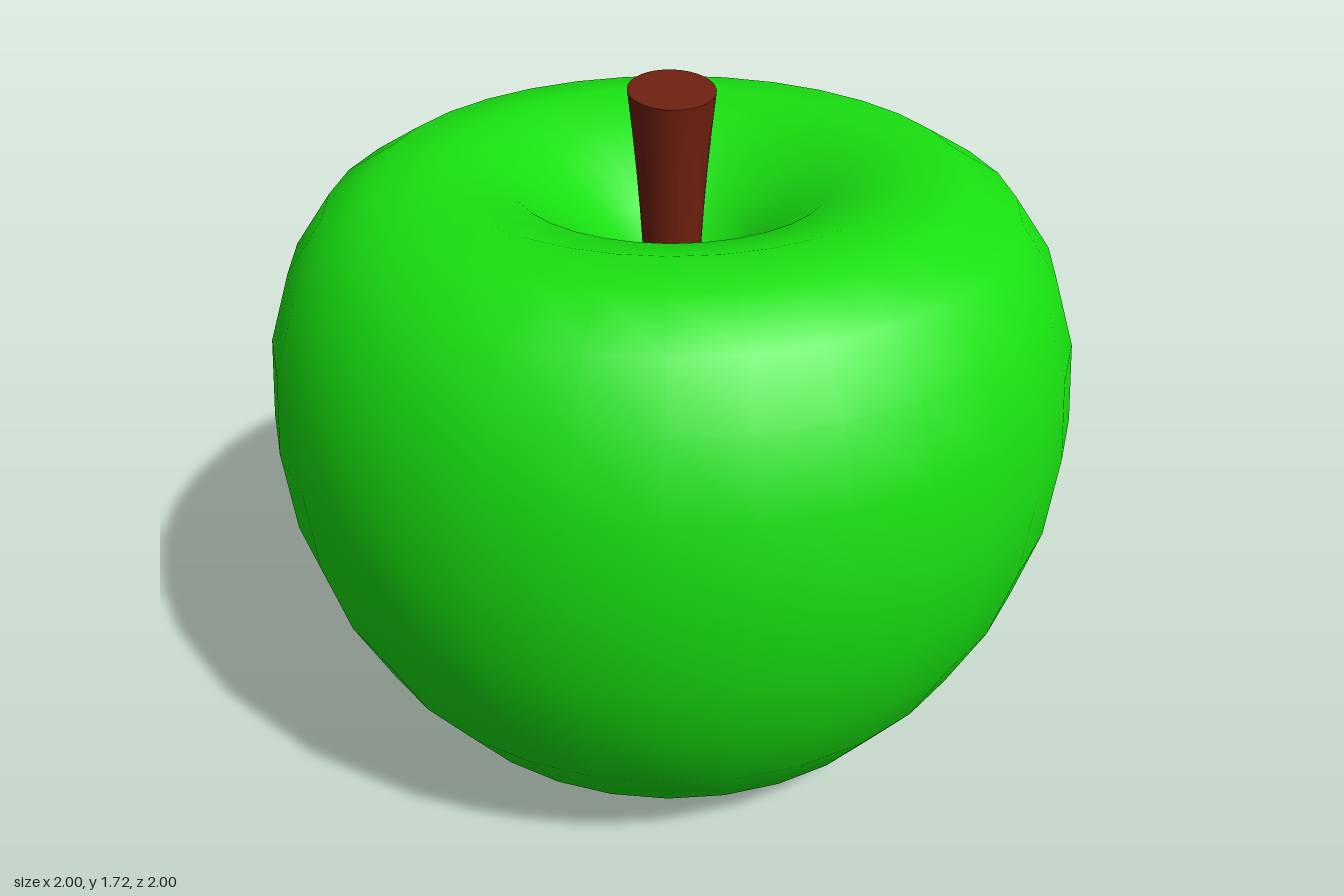
import * as THREE from 'three';
import { mergeVertices } from 'three/addons/utils/BufferGeometryUtils.js';

const SIDES = 32;

// Heights of the rings from the bottom pole to the top pole;
// ring radii follow a 16-step sphere.
const RING_HEIGHTS = [
  0.2, 0.056, 0, 0.042, 0.16, 0.33, 0.52, 0.72, 0.935,
  1.14, 1.31, 1.44, 1.515, 1.53, 1.483, 1.345, 1.14,
];

function createFlesh() {
  const last = RING_HEIGHTS.length - 1;
  const profile = RING_HEIGHTS.map((y, i) =>
    new THREE.Vector2(i % last === 0 ? 0 : Math.sin((Math.PI * i) / last), y));
  let geometry = new THREE.LatheGeometry(profile, SIDES);
  // Weld the seam and poles so the shading is smooth everywhere
  geometry.deleteAttribute('normal');
  geometry.deleteAttribute('uv');
  geometry = mergeVertices(geometry);
  geometry.computeVertexNormals();
  const flesh = new THREE.Mesh(geometry, new THREE.MeshStandardMaterial({ color: 0x18e010 }));
  flesh.name = 'flesh';
  return flesh;
}

function createStem() {
  const bottom = 1.1, top = 1.705;
  const geometry = new THREE.CylinderGeometry(1, 1, 1, SIDES, 6);
  const position = geometry.attributes.position;
  for (let i = 0; i < position.count; i++) {
    const t = position.getY(i) + 0.5;
    const radius = 0.064 + 0.012 * t + 0.029 * t * t; // flares towards the top
    const x = position.getX(i) * radius;
    const z = position.getZ(i) * radius;
    const slant = -0.145 * z * t; // cut end is higher at the back
    position.setXYZ(i, x, bottom + (top - bottom) * t + slant, z);
  }
  geometry.computeVertexNormals();
  const stem = new THREE.Mesh(geometry, new THREE.MeshStandardMaterial({ color: 0x6e200f }));
  stem.name = 'stem';
  return stem;
}

export function createModel() {
  const apple = new THREE.Group();
  apple.name = 'apple';
  apple.add(createFlesh(), createStem());
  return apple;
}
